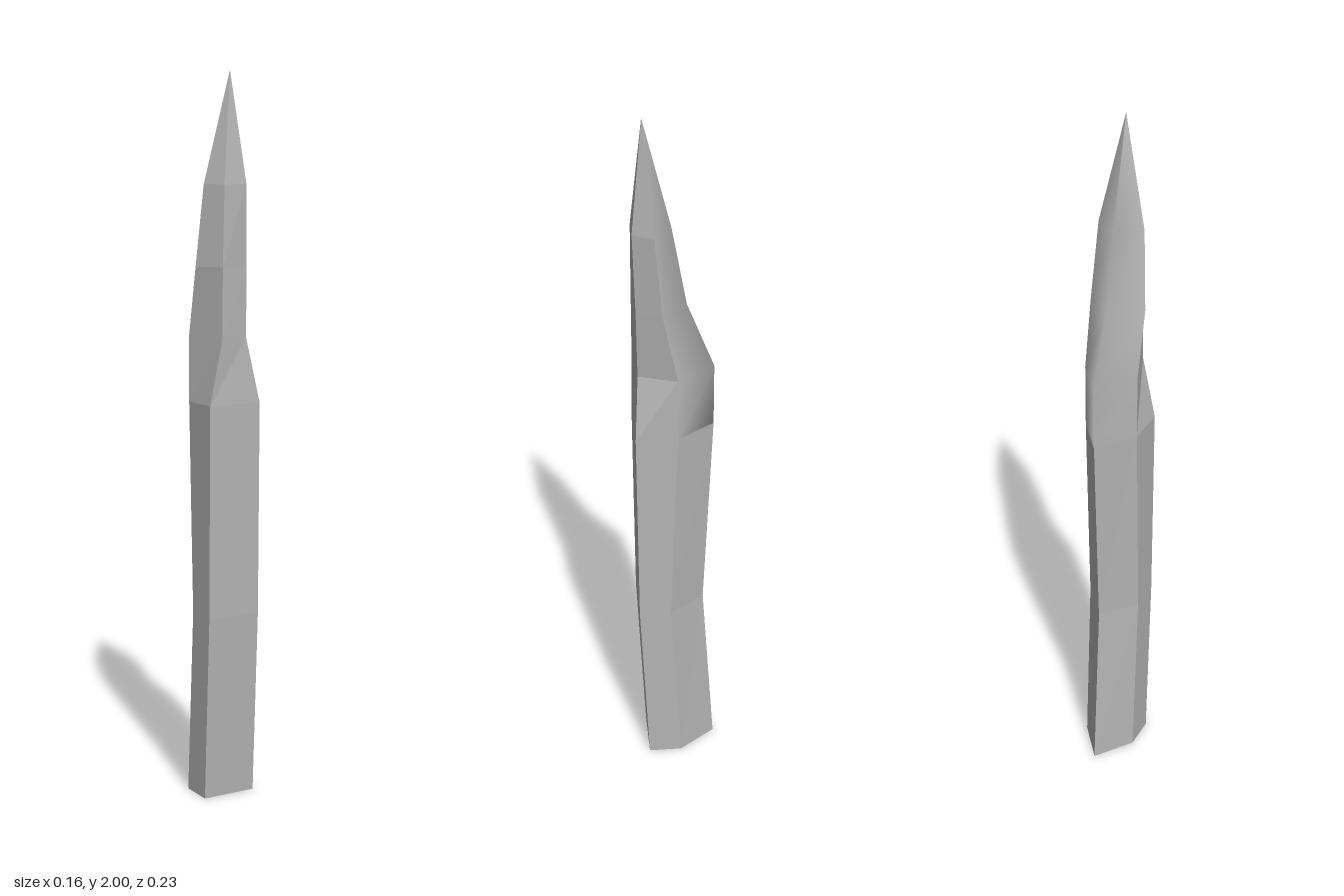
import * as THREE from 'three';

// Cross-sections: y, front half width, front z on the left, front z on the right,
// side half width, side z, back ridge z
const SECTIONS = [
  [0, 0.078, 0.085, 0.085, 0.078, -0.01, -0.115],
  [0.52, 0.078, 0.11, 0.11, 0.078, 0.02, -0.08],
  [1.11, 0.078, 0.115, 0.115, 0.078, 0, -0.105],
  [1.29, 0.04, 0.105, 0.115, 0.078, 0, -0.105],
  [1.48, 0.039, 0.108, 0.115, 0.08, 0.04, -0.03],
  [1.7, 0.034, 0.115, 0.115, 0.066, 0.06, 0.01],
  [2, 0, 0.085, 0.085, 0, 0.085, 0.085],
];

// Five corners per section: front left, side left, ridge, side right, front right
const rings = SECTIONS.map(([y, fw, fl, fr, sw, sz, bz]) => [
  [fw, y, fl], [sw, y, sz], [0, y, bz], [-sw, y, sz], [-fw, y, fr],
]);

// Skins the chosen columns between two sections, ending in single triangles at the tip
function skin(from, to, columns, smooth, cap = false) {
  const index = [];
  for (let r = from; r < to; r++) {
    for (const i of columns) {
      const j = (i + 1) % 5;
      const a = r * 5 + i, b = r * 5 + j, c = b + 5, d = a + 5;
      index.push(a, b, c);
      if (r + 1 < rings.length - 1) index.push(a, c, d);
    }
  }
  if (cap) index.push(0, 2, 1, 0, 3, 2, 0, 4, 3);
  let geometry = new THREE.BufferGeometry();
  // Share one tip vertex per column pair so the ridge stays smooth
  geometry.setAttribute('position', new THREE.Float32BufferAttribute(rings.flat(2), 3));
  geometry.setIndex(index);
  if (!smooth) geometry = geometry.toNonIndexed();
  geometry.computeVertexNormals();
  return geometry;
}

export function createModel() {
  const model = new THREE.Group();
  model.name = 'spike';
  const stone = new THREE.MeshStandardMaterial({ color: 0xb4b4b4 });
  stone.name = 'stone grey';

  const add = (name, geometry) => {
    const mesh = new THREE.Mesh(geometry, stone);
    mesh.name = name;
    model.add(mesh);
  };

  // Faceted bent shaft with a closed foot
  add('shaft', skin(0, 2, [0, 1, 2, 3, 4], false, true));
  // Flat front and bevelled sides of the point
  add('pointFront', skin(2, 6, [0, 3, 4], false));
  // Rounded back of the point
  add('pointBack', skin(2, 6, [1, 2], true));
  return model;
}
